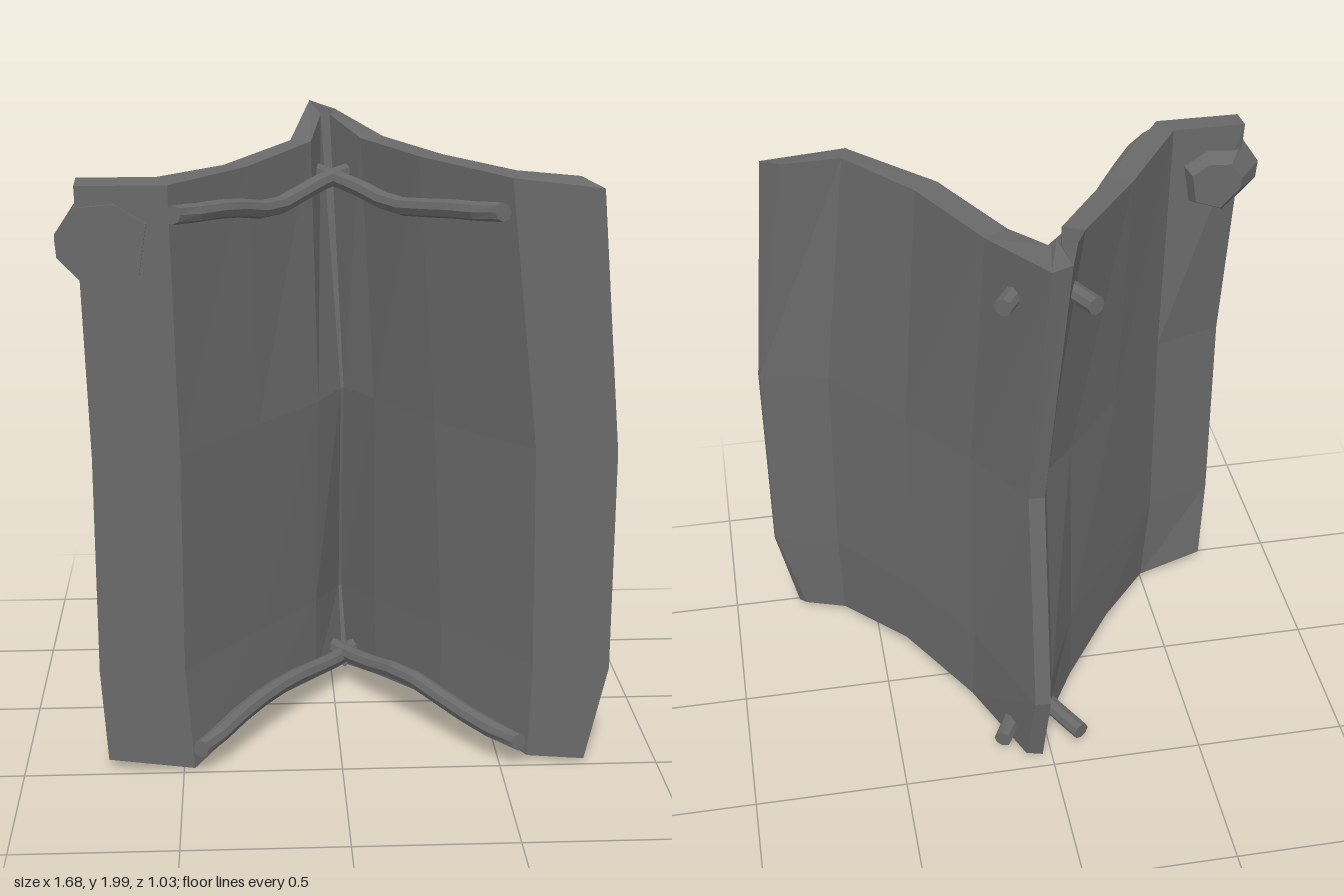
import * as THREE from 'three';
import { ConvexGeometry } from 'three/addons/geometries/ConvexGeometry.js';

const grey = new THREE.MeshStandardMaterial({ color: 0x696969 });
grey.name = 'dark grey';

function mesh(geometry, name) {
  const flat = geometry.index ? geometry.toNonIndexed() : geometry;
  flat.computeVertexNormals();
  const m = new THREE.Mesh(flat, grey);
  m.name = name;
  return m;
}

// Bent sheet: rows of inner-face points [x, y, z, thickness factor], thickened by one offset per column
function sheet(rows, offsets) {
  const pos = [];
  const inner = rows.map(r => r.map(p => p.slice(0, 3)));
  const outer = rows.map(r => r.map((p, j) =>
    offsets[j].map((d, k) => Math.max(k === 1 ? 0 : -9, p[k] + d * (p[3] ?? 1)))));
  const rings = inner.map((r, i) => [...r, ...[...outer[i]].reverse()]);
  const quad = (a, b, c, d) => pos.push(...a, ...b, ...c, ...a, ...c, ...d);
  const n = rings[0].length;
  const t = rows.length - 1;
  for (let i = 0; i < t; i++) {
    for (let j = 0; j < n; j++) {
      const k = (j + 1) % n;
      quad(rings[i][j], rings[i][k], rings[i + 1][k], rings[i + 1][j]);
    }
  }
  for (let j = 0; j < rows[0].length - 1; j++) {
    quad(inner[t][j], inner[t][j + 1], outer[t][j + 1], outer[t][j]);
    quad(outer[0][j], outer[0][j + 1], inner[0][j + 1], inner[0][j]);
  }
  const g = new THREE.BufferGeometry();
  g.setAttribute('position', new THREE.Float32BufferAttribute(pos, 3));
  return g;
}

// Eight-sided rod swept along a gentle curve, its front end cut flat
function rod(points, name) {
  const section = new THREE.Shape();
  for (let i = 0; i < 8; i++) {
    const a = i * Math.PI / 4;
    section[i ? 'lineTo' : 'moveTo'](0.029 * Math.cos(a), 0.029 * Math.sin(a));
  }
  section.closePath();
  const path = new THREE.CatmullRomCurve3(points.map(p => new THREE.Vector3(...p)));
  const g = new THREE.ExtrudeGeometry(section, { steps: 10, extrudePath: path, bevelEnabled: false });
  const p = g.attributes.position;
  for (let i = 0; i < p.count; i++) p.setZ(i, Math.min(p.getZ(i), 0.52));
  return mesh(g, name);
}

export function createModel() {
  const group = new THREE.Group();

  // V-shaped sheet, from the right flap edge over the back ridge to the left flap edge, bottom row first
  const rows = [
    [[-0.735, 0.05, 0.48, 0.4], [-0.465, 0.015, 0.48], [-0.24, 0.09, 0.16], [-0.06, 0.06, -0.10],
      [0.04, 0.02, -0.30], [0.05, 0.01, -0.30], [0.06, 0.02, -0.30],
      [0.15, 0.06, -0.12], [0.34, 0.09, 0.17], [0.59, 0.03, 0.47], [0.77, 0.02, 0.48, 0.4]],
    [[-0.755, 0.35, 0.48, 0.1], [-0.49, 0.35, 0.48], [-0.25, 0.35, 0.16], [-0.06, 0.34, -0.11],
      [0.03, 0.30, -0.36], [0.035, 0.30, -0.36], [0.04, 0.30, -0.36],
      [0.14, 0.34, -0.13], [0.34, 0.35, 0.17], [0.60, 0.34, 0.47], [0.84, 0.33, 0.48, 0.1]],
    [[-0.755, 1.05, 0.48, 0.1], [-0.49, 1.05, 0.48], [-0.25, 1.05, 0.16], [-0.05, 1.05, -0.10],
      [0.03, 1.06, -0.23], [0.035, 1.06, -0.23], [0.04, 1.06, -0.23],
      [0.135, 1.06, -0.10], [0.31, 1.05, 0.16], [0.59, 1.05, 0.47], [0.84, 1.04, 0.48, 0.1]],
    [[-0.78, 1.87, 0.48], [-0.51, 1.87, 0.48], [-0.28, 1.87, 0.15], [-0.07, 1.90, -0.17],
      [-0.03, 1.96, -0.37], [-0.015, 1.98, -0.37], [0, 1.96, -0.37],
      [0.09, 1.91, -0.17], [0.25, 1.90, 0.16], [0.50, 1.88, 0.46], [0.77, 1.85, 0.48]],
  ];
  const offsets = [
    [0, 0.01, -0.09], [-0.035, 0.01, -0.09], [-0.07, 0, -0.04], [-0.065, 0, -0.03],
    [-0.035, 0.04, -0.06], [-0.02, 0, -0.145], [0.025, 0, -0.14],
    [0.075, 0, -0.04], [0.075, 0, -0.04], [0.02, 0.01, -0.08], [-0.06, 0.025, -0.08],
  ];
  group.add(mesh(sheet(rows, offsets), 'foldedSheet'));

  // Crossing rods that pass through the opposite panel at the back
  group.add(rod([[-0.495, 1.79, 0.54], [-0.33, 1.77, 0.30], [-0.20, 1.735, 0.11],
    [-0.06, 1.77, -0.10], [0.03, 1.785, -0.23], [0.145, 1.79, -0.40]], 'upperRodRight'));
  group.add(rod([[0.465, 1.79, 0.54], [0.32, 1.77, 0.34], [0.18, 1.745, 0.13],
    [0.07, 1.77, -0.07], [-0.02, 1.78, -0.24], [-0.12, 1.79, -0.44]], 'upperRodLeft'));
  group.add(rod([[-0.445, 0.10, 0.54], [-0.29, 0.14, 0.30], [-0.16, 0.14, 0.10],
    [-0.01, 0.11, -0.12], [0.06, 0.10, -0.24], [0.165, 0.10, -0.44]], 'lowerRodRight'));
  group.add(rod([[0.555, 0.10, 0.54], [0.39, 0.13, 0.34], [0.24, 0.165, 0.14],
    [0.11, 0.13, -0.07], [0.03, 0.11, -0.22], [-0.10, 0.10, -0.45]], 'lowerRodLeft'));

  // Faceted lump behind the upper corner of the right flap: outline scaled about its centre at three depths
  const outline = [[-0.08, 0.12], [-0.14, 0.03], [-0.135, -0.03], [-0.03, -0.14], [0.11, -0.09], [0.135, 0.07], [0.04, 0.13]];
  const points = [];
  for (const [z, s, dx] of [[0.488, 0.97, 0], [0.43, 1, 0], [0.345, 0.6, 0.02]]) {
    for (const [x, y] of outline) points.push(new THREE.Vector3(-0.705 + dx + x * s, 1.69 + y * s, z));
  }
  group.add(mesh(new ConvexGeometry(points), 'cornerLump'));

  return group;
}
